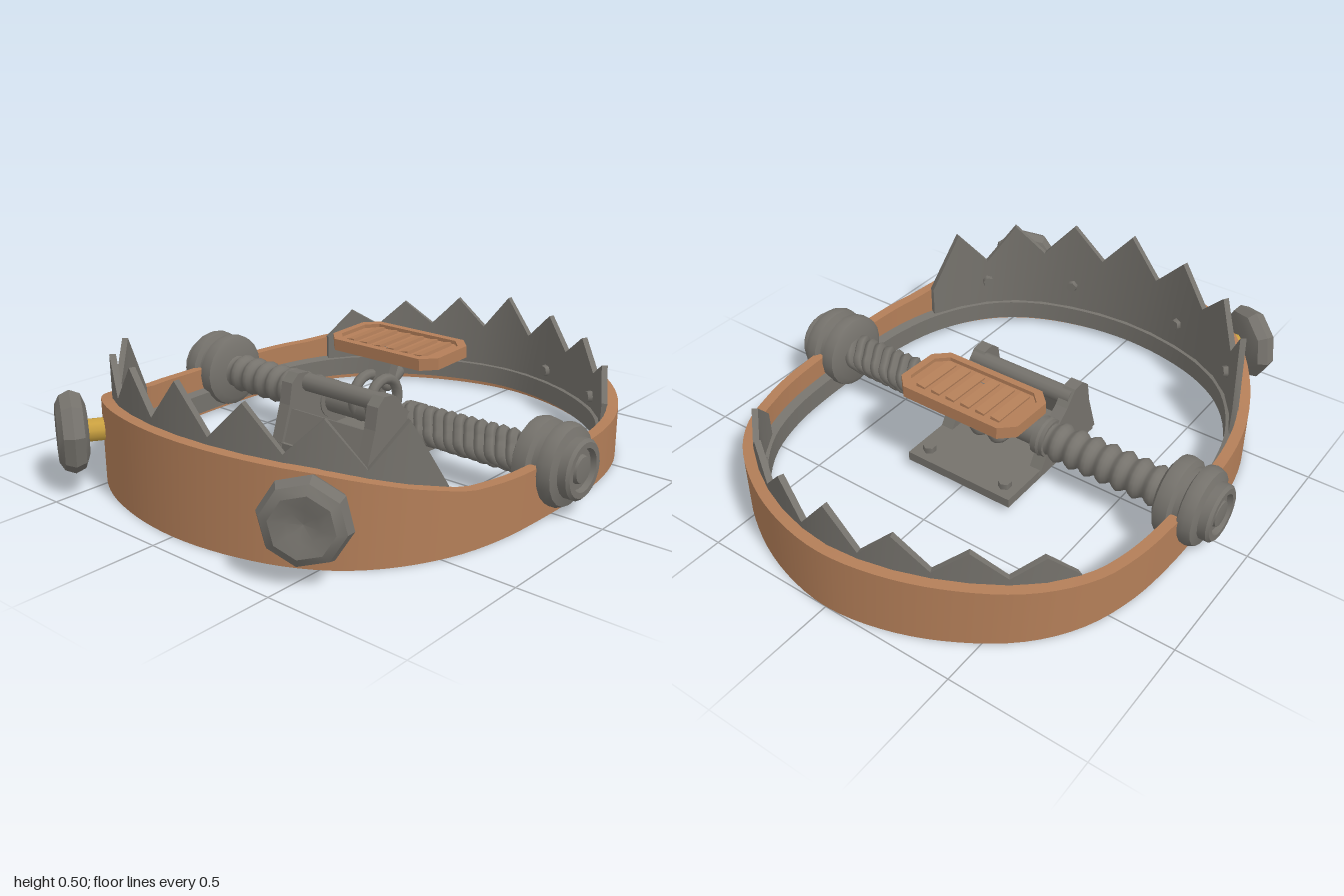
import * as THREE from 'three';
import { toCreasedNormals } from 'three/addons/utils/BufferGeometryUtils.js';

const mat = (name, color) => Object.assign(new THREE.MeshStandardMaterial({ color }), { name });
const V = (x, y, z) => new THREE.Vector3(x, y, z);
const AXLE_Y = 0.165, AXLE_Z = -0.035;

// Outer outline of the band: half of the loop (x, z), mirrored to the other side
const half = [[0, 0.92], [0.2, 0.9], [0.4, 0.84], [0.55, 0.75], [0.66, 0.63], [0.75, 0.46], [0.795, 0.28],
  [0.81, 0.08], [0.81, -0.18], [0.785, -0.4], [0.72, -0.59], [0.6, -0.75], [0.4, -0.89], [0.2, -0.97], [0, -1]];
const loop = [...half, ...half.slice(1, -1).reverse().map(([x, z]) => [-x, z])];
const outline = new THREE.CatmullRomCurve3(loop.map(([x, z]) => V(x, 0, z)), true);
outline.arcLengthDivisions = 800;
const LENGTH = outline.getLength();

// Height of the band's upper edge along z
const edge = [[-1, 0.245], [-0.8, 0.22], [-0.5, 0.185], [-0.2, 0.185], [0.2, 0.19], [0.4, 0.2], [0.6, 0.25], [0.8, 0.31], [0.92, 0.33]];
function bandTop(z) {
  for (let i = 1; i < edge.length; i++) {
    const [z0, y0] = edge[i - 1], [z1, y1] = edge[i];
    if (z <= z1) return THREE.MathUtils.lerp(y0, y1, Math.max(0, (z - z0) / (z1 - z0)));
  }
  return 0.33;
}

// Point and outward direction at a distance along the outline (0 = front centre)
function frame(s) {
  const u = ((s / LENGTH) % 1 + 1) % 1;
  const t = outline.getTangentAt(u);
  return { p: outline.getPointAt(u), n: V(-t.z, 0, t.x).normalize() };
}

// Sweeps a four-cornered section (offset, y) along the outline
function sweep(s0, s1, steps, section, closed = false) {
  const rows = [], pos = [];
  for (let i = 0; i <= steps; i++) {
    const { p, n } = frame(s0 + (s1 - s0) * i / steps);
    rows.push(section(p, i).map(([o, y]) => p.clone().addScaledVector(n, o).setY(y)));
  }
  const quad = (a, b, c, d) => [a, b, c, a, c, d].forEach(v => pos.push(v.x, v.y, v.z));
  for (let i = 0; i < steps; i++) {
    for (let j = 0; j < 4; j++) {
      const k = (j + 1) % 4;
      quad(rows[i][j], rows[i + 1][j], rows[i + 1][k], rows[i][k]);
    }
  }
  if (!closed) {
    quad(...rows[0]);
    quad(...[...rows[steps]].reverse());
  }
  const g = new THREE.BufferGeometry();
  g.setAttribute('position', new THREE.Float32BufferAttribute(pos, 3));
  return toCreasedNormals(g, 0.6);
}

const lathe = (pts, seg, crease = 0.7) =>
  toCreasedNormals(new THREE.LatheGeometry(pts.map(([r, y]) => new THREE.Vector2(r, y)), seg), crease);

export function createModel() {
  const rust = mat('rusty brown', 0xb37e58);
  const steel = mat('worn steel', 0x75726c);
  const brass = mat('brass', 0xc9a040);
  const model = new THREE.Group();
  const add = (name, geo, material, parent = model) => {
    const m = new THREE.Mesh(geo, material);
    m.name = name;
    parent.add(m);
    return m;
  };

  // Band and the steel liner inside it
  add('band', sweep(0, LENGTH, 112, p => {
    const y = bandTop(p.z);
    return [[0, 0], [0, y], [-0.04, y], [-0.04, 0]];
  }, true), rust);
  add('liner', sweep(0, LENGTH, 112, () => [[-0.035, 0.025], [-0.035, 0.11], [-0.075, 0.1], [-0.075, 0.025]], true), steel);

  // Toothed jaws with rivets on the inside
  const jaws = [
    { name: 'frontJaw', mid: 0, pitch: 0.27, tips: [0.505, 0.485, 0.46, 0.445], rivetY: 0.21 },
    { name: 'backJaw', mid: LENGTH / 2, pitch: 0.25, tips: [0.41, 0.38, 0.35, 0.31], rivetY: 0.15 },
  ];
  for (const { name, mid, pitch, tips, rivetY } of jaws) {
    const reach = 3.5 * pitch;
    add(name, sweep(mid - reach, mid + reach, 14, (p, i) => {
      const y = i % 2 ? tips[Math.abs((i - 7) / 2)] : bandTop(p.z) + (i % 14 ? 0.025 : 0.005);
      return [[-0.038, 0.04], [-0.038, y], [-0.06, y], [-0.062, 0.04]];
    }), steel);
    for (const k of [-2.5, -1, 1, 2.5]) {
      const { p, n } = frame(mid + k * pitch);
      const r = add('jawRivet', new THREE.CylinderGeometry(0.022, 0.025, 0.03, 6), steel);
      r.position.copy(p).addScaledVector(n, -0.066).setY(rivetY);
      r.quaternion.setFromUnitVectors(V(0, 1, 0), n.clone().negate());
    }
  }

  // Axle assembly, lying along x
  const axle = new THREE.Group();
  axle.name = 'axle';
  axle.position.set(0, AXLE_Y, AXLE_Z);
  model.add(axle);
  add('axleRod', new THREE.CylinderGeometry(0.05, 0.05, 1.5, 16), steel, axle).rotation.z = Math.PI / 2;
  const hub = [[0, 0.7], [0.115, 0.7], [0.14, 0.715], [0.145, 0.74], [0.14, 0.765], [0.12, 0.775], [0.12, 0.795],
    [0.14, 0.805], [0.145, 0.83], [0.135, 0.855], [0.105, 0.865], [0.105, 0.895], [0.095, 0.905], [0.075, 0.905],
    [0.07, 0.885], [0.05, 0.885], [0.045, 0.9], [0, 0.905]];
  for (const side of [-1, 1]) {
    add('hub', lathe(hub, 20), steel, axle).rotation.z = -side * Math.PI / 2;
    const collar = add('collar', new THREE.CylinderGeometry(0.072, 0.072, 0.05, 16), steel, axle);
    collar.rotation.z = Math.PI / 2;
    collar.position.x = side * 0.2;
  }

  // Ringed sleeve on one half
  const rings = [];
  for (let i = 0; i <= 48; i++) rings.push([0.067 + 0.009 * Math.cos(i * Math.PI / 3), 0.2 + i * 0.52 / 48]);
  add('ringedSleeve', lathe(rings, 16, 1.2), steel, axle).rotation.z = Math.PI / 2;

  // Twisted wire on the other half
  for (const phase of [0, 2.1, 4.2]) {
    const pts = [];
    for (let i = 0; i <= 60; i++) {
      const a = phase + i * 0.42;
      const r = 0.057 + 0.006 * Math.sin(i * 1.7 + phase);
      pts.push(V(0.2 + i * 0.52 / 60, Math.cos(a) * r, Math.sin(a) * r));
    }
    add('twistedWire', new THREE.TubeGeometry(new THREE.CatmullRomCurve3(pts), 160, 0.02, 6), steel, axle);
  }

  // Bracket: base plate, two cheeks, hinge pin and corner bolts
  const bracket = new THREE.Group();
  bracket.name = 'bracket';
  model.add(bracket);
  add('basePlate', new THREE.BoxGeometry(0.45, 0.035, 0.55), steel, bracket).position.set(0, 0.05, -0.03);
  const cheek = new THREE.Shape([[0.25, 0.05], [0.2, 0.2], [0.185, 0.28], [0.15, 0.31], [0.1, 0.305], [0.05, 0.25], [-0.04, 0.18], [-0.12, 0.05]]
    .map(([z, y]) => new THREE.Vector2(-z, y)));
  const cheekGeo = new THREE.ExtrudeGeometry(cheek, { depth: 0.05, bevelEnabled: false });
  cheekGeo.rotateY(Math.PI / 2);
  for (const x of [-0.23, 0.175]) add('cheek', cheekGeo, steel, bracket).position.x = x;
  const pin = add('hingePin', new THREE.CylinderGeometry(0.034, 0.034, 0.44, 12), steel, bracket);
  pin.rotation.z = Math.PI / 2;
  pin.position.set(0, 0.265, 0.1);
  const apron = add('apron', new THREE.BoxGeometry(0.38, 0.13, 0.025), steel, bracket);
  apron.position.set(0, 0.12, 0.2);
  apron.rotation.x = -0.35;
  for (const x of [-0.17, 0.17]) {
    add('baseBolt', new THREE.CylinderGeometry(0.025, 0.025, 0.025, 6), steel, bracket).position.set(x, 0.078, -0.25);
  }

  // Loops and arm that carry the trigger pan
  for (const x of [-0.04, 0.04]) {
    const ring = add('armLoop', new THREE.TorusGeometry(0.08, 0.02, 8, 20), steel);
    ring.position.set(x, 0.2, -0.07);
    ring.rotation.y = Math.PI / 2;
  }
  const lug = add('lug', new THREE.CapsuleGeometry(0.025, 0.07, 4, 10), steel);
  lug.position.set(0, 0.25, -0.17);
  lug.rotation.x = -1.05;
  const arm = add('triggerArm', new THREE.BoxGeometry(0.07, 0.13, 0.045), steel);
  arm.position.set(0, 0.31, -0.135);
  arm.rotation.x = -0.4;

  // Trigger pan: chamfered plate with a raised rim and ribs
  const pan = new THREE.Group();
  pan.name = 'triggerPan';
  pan.position.set(0, 0.372, -0.205);
  pan.rotation.x = 0.04;
  model.add(pan);
  const octagon = (w, d, c) => [[w, d - c], [w - c, d], [c - w, d], [-w, d - c], [-w, c - d], [c - w, -d], [w - c, -d], [w, c - d]]
    .map(([x, y]) => new THREE.Vector2(x, y));
  const slab = (shape, depth) => new THREE.ExtrudeGeometry(shape, { depth, bevelEnabled: false }).rotateX(-Math.PI / 2);
  add('panPlate', slab(new THREE.Shape(octagon(0.25, 0.135, 0.05)), 0.03), rust, pan).position.y = -0.022;
  const rim = new THREE.Shape(octagon(0.25, 0.135, 0.05));
  rim.holes.push(new THREE.Path(octagon(0.222, 0.108, 0.04)));
  add('panRim', slab(rim, 0.014), rust, pan).position.y = 0.008;
  for (let i = 0; i < 6; i++) {
    const rib = add('panRib', new THREE.BoxGeometry(0.036, 0.014, 0.18), rust, pan);
    rib.position.set(-0.16 + i * 0.064, 0.011, 0);
    rib.rotation.z = 0.15;
  }

  // Two faceted knobs on brass stems at the front
  const knob = [[0, -0.05], [0.09, -0.05], [0.13, -0.035], [0.145, 0], [0.13, 0.035], [0.1, 0.052], [0.05, 0.042], [0, 0.025]];
  for (const side of [-1, 1]) {
    const g = new THREE.Group();
    g.name = 'knob';
    g.position.set(side * 0.54, 0.208, 0.885);
    g.quaternion.setFromUnitVectors(V(0, 1, 0), V(side * 0.53, 0, 0.85).normalize());
    model.add(g);
    add('knobHead', lathe(knob, 8, 0.6).rotateY(Math.PI / 8), steel, g);
    add('knobStem', new THREE.CylinderGeometry(0.04, 0.04, 0.12, 10), brass, g).position.y = -0.08;
  }
  return model;
}
